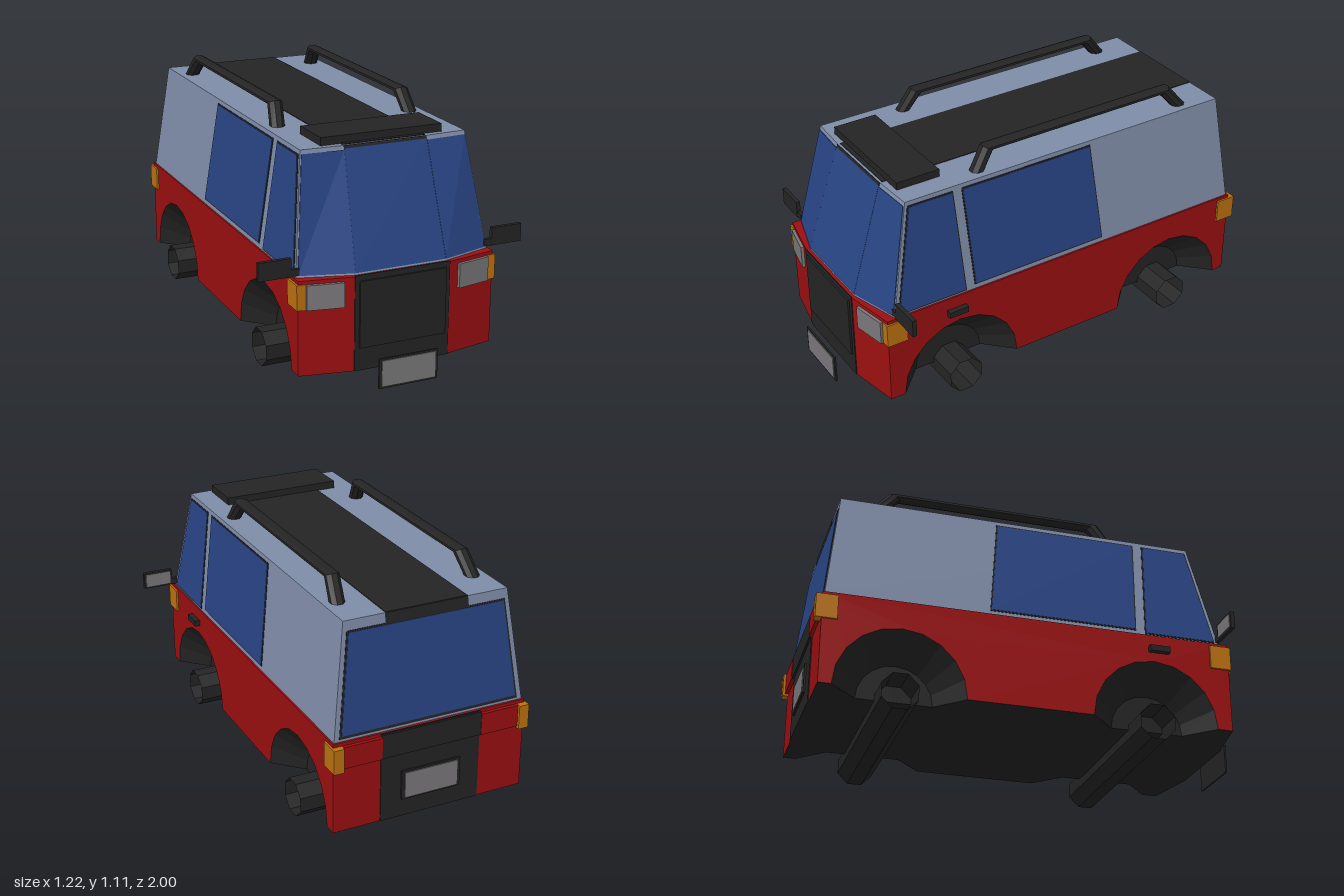
import * as THREE from 'three';

const colour = (name, hex) => {
  const m = new THREE.MeshStandardMaterial({ color: hex, side: THREE.DoubleSide, flatShading: true });
  m.name = name;
  return m;
};

export function createModel() {
  const van = new THREE.Group();
  van.name = 'van';
  const red = colour('red paint', 0x9c0f11);
  const paint = colour('blue grey paint', 0x7f8da8);
  const glass = colour('blue glass', 0x284484);
  const black = colour('black trim', 0x242424);
  const orange = colour('orange lens', 0xbc7210);
  const grey = colour('grey lens', 0x7a787a);

  const add = (name, geo, mat) => {
    const mesh = new THREE.Mesh(geo, mat);
    mesh.name = name;
    van.add(mesh);
    return mesh;
  };
  const box = (name, mat, x0, x1, y0, y1, z0, z1) =>
    add(name, new THREE.BoxGeometry(Math.abs(x1 - x0), y1 - y0, Math.abs(z1 - z0)), mat)
      .position.set((x0 + x1) / 2, (y0 + y1) / 2, (z0 + z1) / 2);
  const faces = (name, mat, quads) => {
    const pos = [];
    for (const [a, b, c, d] of quads) pos.push(...a, ...b, ...c, ...a, ...c, ...d);
    const geo = new THREE.BufferGeometry();
    geo.setAttribute('position', new THREE.Float32BufferAttribute(pos, 3));
    geo.computeVertexNormals();
    return add(name, geo, mat);
  };
  // Plate raised from four corners, given counter-clockwise from outside
  const slab = (name, mat, pts, depth) => {
    const [a, b, , d] = pts.map(p => new THREE.Vector3(...p));
    const n = b.clone().sub(a).cross(d.clone().sub(a)).setLength(depth);
    const out = pts.map(p => [p[0] + n.x, p[1] + n.y, p[2] + n.z]);
    const sides = pts.map((p, i) => [p, pts[(i + 1) % 4], out[(i + 1) % 4], out[i]]);
    faces(name, mat, [out, ...sides]);
  };
  const flip = pts => pts.map(([x, y, z]) => [-x, y, z]).reverse();
  const both = (name, mat, pts, depth) => {
    slab(name + 'Left', mat, pts, depth);
    slab(name + 'Right', mat, flip(pts), depth);
  };
  // Rectangle inside a four-cornered facet (bottom left, bottom right, top right, top left)
  const mix = (a, b, t) => a.map((v, i) => v + (b[i] - v) * t);
  const inset = ([bl, br, tr, tl], u0, u1, v0, v1) => {
    const at = (u, v) => mix(mix(bl, br, u), mix(tl, tr, u), v);
    return [at(u0, v0), at(u1, v0), at(u1, v1), at(u0, v1)];
  };

  // Lower body
  const W = 0.453, Y0 = 0.087, Y1 = 0.505, ZB = -0.972, ZC = 0.88, ZF = 0.925, XF = 0.22;
  const arches = [-0.625, 0.52], R = 0.29, RI = 0.168, XI = 0.33, N = 10;
  const arc = (z, r, x) => Array.from({ length: N + 1 }, (_, i) => {
    const t = Math.PI * i / N;
    return [x, Y0 + r * Math.sin(t), z - r * Math.cos(t)];
  });
  for (const s of [1, -1]) {
    const side = s > 0 ? 'Left' : 'Right';
    // Side panel, with the arch cut out of its lower edge
    const edge = [[ZB, Y0]];
    for (const z of arches) for (const p of arc(z, R, 0)) edge.push([p[2], p[1]]);
    edge.push([ZC, Y0], [ZC, Y1], [ZB, Y1]);
    const shape = new THREE.Shape(edge.map(([z, y]) => new THREE.Vector2(-z, y)));
    const panel = add('bodySide' + side, new THREE.ShapeGeometry(shape), red);
    panel.rotation.y = Math.PI / 2;
    panel.position.x = s * W;
    // Tapered wheel arch liners
    for (const z of arches) {
      const o = arc(z, R, s * W), n = arc(z, RI, s * XI), c = [s * XI, Y0, z];
      const quads = [];
      for (let i = 0; i < N; i++) {
        quads.push([o[i], o[i + 1], n[i + 1], n[i]], [n[i], n[i + 1], c, c]);
      }
      faces('wheelArch' + side, black, quads);
    }
  }
  // Underside with notches for the arches
  const half = [[W, ZB]];
  for (const z of arches) half.push([W, z - R], [XI, z - RI], [XI, z + RI], [W, z + R]);
  half.push([W, ZC], [XF, ZF]);
  const outline = [...half, ...half.map(([x, z]) => [-x, z]).reverse()];
  const floor = add('underside', new THREE.ShapeGeometry(new THREE.Shape(outline.map(p => new THREE.Vector2(...p)))), black);
  floor.rotation.x = Math.PI / 2;
  floor.position.y = Y0;
  // Ledge under the windows
  const rim = [[W, ZB], [W, ZC], [XF, ZF], [-XF, ZF], [-W, ZC], [-W, ZB]];
  const ledge = add('bodyLedge', new THREE.ShapeGeometry(new THREE.Shape(rim.map(p => new THREE.Vector2(...p)))), red);
  ledge.rotation.x = Math.PI / 2;
  ledge.position.y = Y1;

  // Front and rear of the lower body
  const nose = [[XF, Y0, ZF], [W, Y0, ZC], [W, Y1, ZC], [XF, Y1, ZF]];
  faces('nosePanels', red, [nose, flip(nose)]);
  slab('frontCentrePanel', black, [[-XF, Y0, ZF], [XF, Y0, ZF], [XF, Y1 + 0.005, ZF], [-XF, Y1 + 0.005, ZF]], 0.004);
  box('grille', black, -0.2, 0.2, 0.19, 0.485, ZF, 0.938);
  both('headlight', grey, inset(nose, 0.19, 0.86, 0.7, 0.96), 0.014);
  faces('rearPanel', red, [[[W, Y0, ZB], [-W, Y0, ZB], [-W, Y1, ZB], [W, Y1, ZB]]]);
  box('rearCentrePanel', black, -0.235, 0.235, Y0, Y1, ZB, -0.976);
  box('rearHandleBand', black, -0.235, 0.235, 0.39, 0.5, ZB, -0.985);
  for (const s of [1, -1]) {
    box('tailLight', red, s * 0.235, s * 0.42, 0.39, 0.49, ZB, -0.988);
    box('rearMarker', orange, s * 0.415, s * 0.462, 0.38, 0.49, -1, -0.905);
    box('frontMarker', orange, s * 0.42, s * 0.462, 0.38, 0.49, 0.79, 0.888);
    box('doorHandle', black, s * 0.45, s * 0.478, 0.42, 0.448, 0.495, 0.59);
    // Wing mirrors
    box('mirrorArm', black, s * 0.43, s * 0.47, 0.515, 0.545, 0.828, 0.845);
    box('mirrorHousing', black, s * 0.467, s * 0.612, 0.515, 0.595, 0.828, 0.847);
    box('mirrorGlass', grey, s * 0.477, s * 0.602, 0.524, 0.587, 0.825, 0.829);
  }

  // Number plates without lettering
  box('frontPlateFrame', black, -0.137, 0.137, 0.017, 0.152, 0.984, 0.992);
  box('frontPlate', grey, -0.125, 0.125, 0.028, 0.143, 0.99, 0.996);
  box('rearPlateFrame', black, -0.14, 0.14, 0.17, 0.307, -0.984, ZB);
  box('rearPlate', grey, -0.125, 0.125, 0.18, 0.297, -0.988, -0.983);

  // Cabin shell
  const YR = 1.01, XB = 0.445, XT = 0.38, ZRB = -0.963, ZRT = -0.907, ZWB = 0.84, ZWT = 0.735;
  const side = [[XB, Y1, ZWB], [XB, Y1, ZRB], [XT, YR, ZRT], [XT, YR, ZWT]];
  const rear = [[XB, Y1, ZRB], [-XB, Y1, ZRB], [-XT, YR, ZRT], [XT, YR, ZRT]];
  const screen = [[-0.21, Y1, 0.908], [0.21, Y1, 0.908], [0.19, YR, 0.745], [-0.19, YR, 0.745]];
  const screenSide = [[0.21, Y1, 0.908], [XB, Y1, ZWB], [XT, YR, ZWT], [0.19, YR, 0.745]];
  const roof = [[-XT, YR, ZWT], [XT, YR, ZWT], [XT, YR, ZRT], [-XT, YR, ZRT]];
  const brow = [[-0.19, YR, 0.745], [0.19, YR, 0.745], [XT, YR, ZWT], [-XT, YR, ZWT]];
  faces('cabinShell', paint, [side, flip(side), rear, screen, screenSide, flip(screenSide), roof, brow]);

  // Windscreen and rear window with dark seals
  slab('windscreenCentre', glass, inset(screen, 0, 1, 0.015, 0.975), 0.004);
  both('windscreenSide', glass, inset(screenSide, 0, 0.97, 0.015, 0.965), 0.004);
  slab('windscreenStripe', black, inset(screen, 0, 1, 0.975, 1), 0.004);
  slab('rearWindowSeal', black, inset(rear, 0.025, 0.975, 0.02, 0.915), 0.002);
  slab('rearWindow', glass, inset(rear, 0.035, 0.965, 0.045, 0.9), 0.004);
  slab('rearStripe', black, inset(rear, 0.25, 0.75, 0.915, 1), 0.003);

  // Side windows, placed by height and depth on the sloping wall
  const wall = (y, z) => [XB + (XT - XB) * (y - Y1) / (YR - Y1), y, z];
  const sideWindow = (name, y0, y1, fb, rb, rt, ft) => {
    const e = 0.006;
    both(name + 'Seal', black, [wall(y0 - e, fb + e), wall(y0 - e, rb - e), wall(y1 + e, rt - e), wall(y1 + e, ft + e)], 0.002);
    both(name, glass, [wall(y0, fb), wall(y0, rb), wall(y1, rt), wall(y1, ft)], 0.004);
  };
  sideWindow('frontDoorWindow', 0.517, 0.985, 0.817, 0.49, 0.513, 0.72);
  sideWindow('rearSideWindow', 0.53, 0.985, 0.437, -0.23, -0.188, 0.46);

  // Roof stripe and light bar
  slab('roofStripe', black, [[-0.19, YR, 0.735], [0.19, YR, 0.735], [0.19, YR, ZRT], [-0.19, YR, ZRT]], 0.003);
  box('roofLightBar', black, -0.28, 0.28, YR, 1.045, 0.51, 0.715);

  // Roof rails: eight-sided sections swept with mitred corners [x, y, z, half height, half depth]
  const stations = [
    [0.318, 1.005, 0.352, 0, 0.032], [0.303, 1.098, 0.29, 0.0135, 0.026],
    [0.303, 1.098, -0.652, 0.0135, -0.023], [0.318, 1.005, -0.732, 0, -0.033],
  ];
  for (const s of [1, -1]) {
    const rings = stations.map(([x, y, z, dy, dz]) => Array.from({ length: 8 }, (_, i) => {
      const t = (i + 0.5) * Math.PI / 4, k = Math.sin(t) * 1.08;
      return [s * (x + 0.033 * Math.cos(t)), y + dy * k, z + dz * k];
    }));
    const quads = [];
    for (let j = 0; j < 3; j++) for (let i = 0; i < 8; i++) {
      const k = (i + 1) % 8;
      quads.push([rings[j][i], rings[j][k], rings[j + 1][k], rings[j + 1][i]]);
    }
    faces('roofRail', black, quads);
  }

  // Hollow axles
  for (const z of [-0.63, 0.515]) {
    const axle = add('axle', new THREE.CylinderGeometry(0.086, 0.086, 0.96, 8, 1, true, Math.PI / 8), black);
    axle.rotation.z = Math.PI / 2;
    axle.position.set(0, 0.08, z);
  }
  return van;
}
